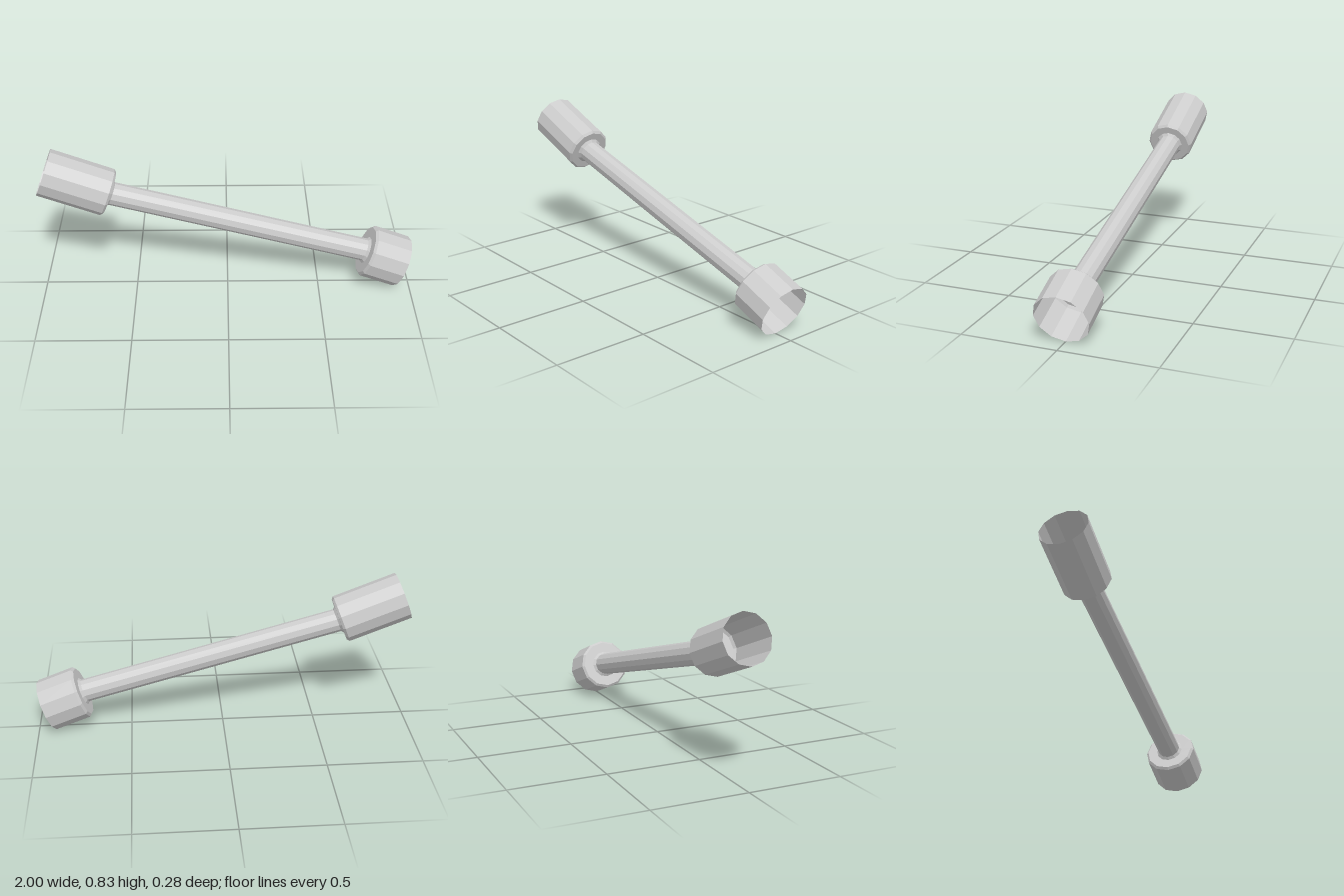
import * as THREE from 'three';

const SIDES = 12;
const TILT = THREE.MathUtils.degToRad(-111); // turns local +y along the axis of the sockets
const TUBE_R = 0.062;
const COLLAR_R = 0.075;
const BEVEL = 0.012;

const material = new THREE.MeshStandardMaterial({
  color: 0xcccccc, flatShading: true, side: THREE.DoubleSide,
});

// Open socket: wall, bevelled rim, annular floor and small collar.
// dir = +1: tube leaves along +y, -1: along -y; y = 0 is the open mouth.
function socket(name, radius, depth, dir, x, y) {
  const profile = [
    [radius, 0],
    [radius, depth],
    [radius - BEVEL, depth + BEVEL],
    [COLLAR_R, depth + BEVEL],
    [TUBE_R, depth + 2 * BEVEL],
  ].map(([r, h]) => new THREE.Vector2(r, h * dir));
  if (dir < 0) profile.reverse();
  const mesh = new THREE.Mesh(new THREE.LatheGeometry(profile, SIDES), material);
  mesh.name = name;
  mesh.position.set(x, y, 0);
  mesh.rotation.z = TILT;
  mesh.updateMatrix();
  // Centre of the collar, where the tube joins
  const joint = new THREE.Vector3(0, dir * (depth + 2 * BEVEL), 0).applyMatrix4(mesh.matrix);
  return { mesh, joint };
}

export function createModel() {
  const group = new THREE.Group();
  group.name = 'socketWrench';

  const deep = socket('deepSocket', 0.127, 0.346, 1, -0.955, 0.715);
  const shallow = socket('shallowSocket', 0.142, 0.198, -1, 0.949, 0.1335);

  // Slanted tube: its end rings stay parallel to the sockets while its axis joins them
  const tubeGeometry = new THREE.CylinderGeometry(TUBE_R, TUBE_R, 1, SIDES, 1, true);
  const across = new THREE.Vector3(Math.cos(TILT), Math.sin(TILT), 0);
  const along = shallow.joint.clone().sub(deep.joint);
  const middle = deep.joint.clone().lerp(shallow.joint, 0.5);
  tubeGeometry.applyMatrix4(
    new THREE.Matrix4().makeBasis(across, along, new THREE.Vector3(0, 0, 1)).setPosition(middle));
  const tube = new THREE.Mesh(tubeGeometry, material);
  tube.name = 'connectingTube';

  group.add(deep.mesh, tube, shallow.mesh);
  return group;
}
